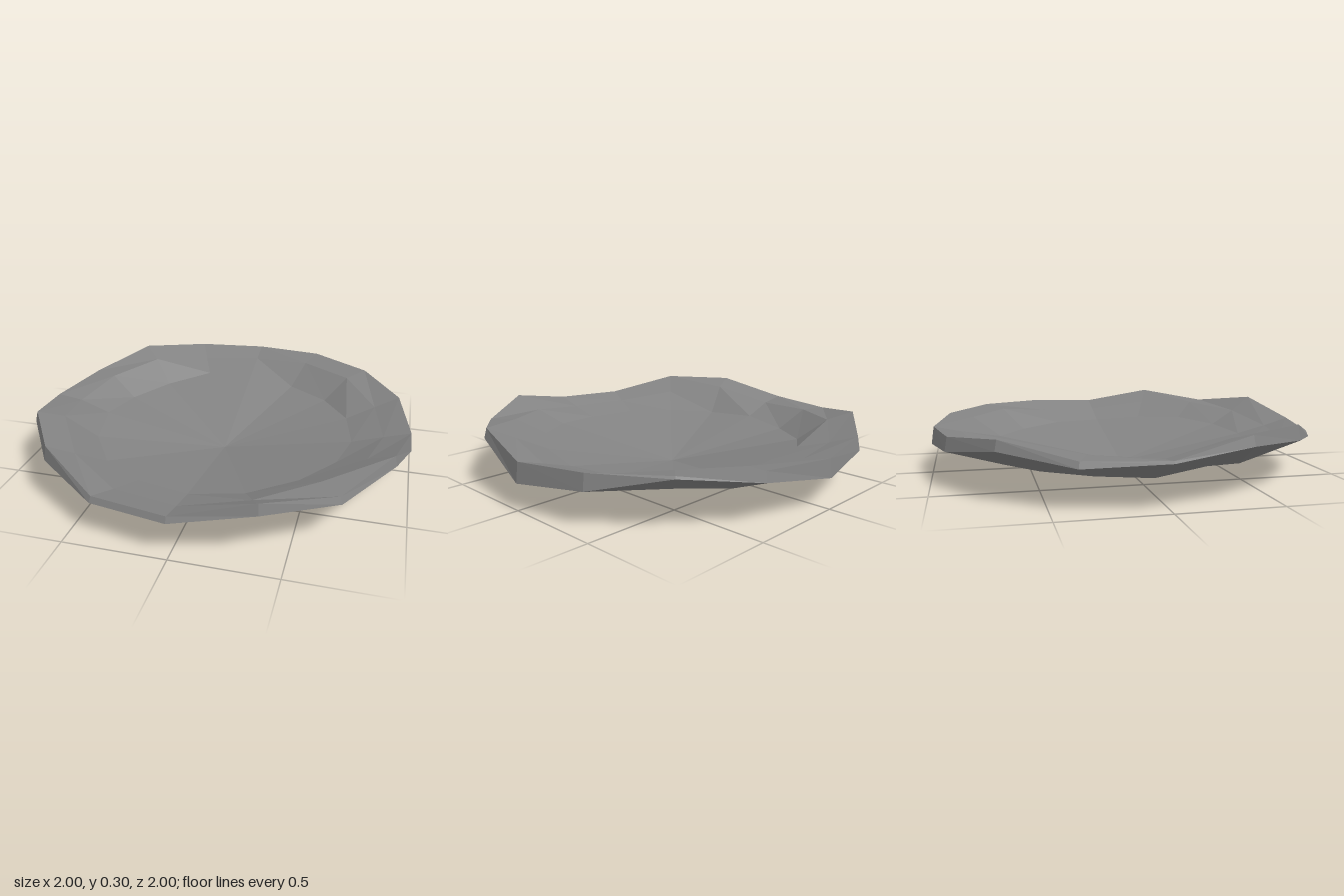
import * as THREE from 'three';

const SIDES = 16;
// Heights around the dish, starting at +x and turning towards +z
const rimTop = [0.23, 0.30, 0.25, 0.30, 0.22, 0.21, 0.30, 0.30, 0.22, 0.22, 0.285, 0.25, 0.24, 0.255, 0.26, 0.25];
const rimLow = [0.13, 0.25, 0.215, 0.245, 0.19, 0.18, 0.225, 0.25, 0.21, 0.19, 0.235, 0.18, 0.15, 0.205, 0.25, 0.17];
const shelf = [0.19, 0.235, 0.25, 0.225, 0.18, 0.175, 0.22, 0.265, 0.20, 0.22, 0.24, 0.205, 0.21, 0.235, 0.24, 0.20];
const basinTop = [0.14, 0.16, 0.17, 0.155, 0.14, 0.14, 0.13, 0.13, 0.14, 0.12, 0.13, 0.165, 0.175, 0.13, 0.13, 0.14];
const basinLow = [0.12, 0.12, 0.10, 0.10, 0.12, 0.08, 0.08, 0.11, 0.08, 0.09, 0.09, 0.08, 0.10, 0.08, 0.10, 0.12];

// One ring of points with a height for each
function ring(radius, heights) {
  return heights.map((y, k) => {
    const a = (k / SIDES) * Math.PI * 2;
    return [Math.cos(a) * radius, y, Math.sin(a) * radius];
  });
}

// A ring shrunk to a single point on the axis
const pole = (y) => ring(0, Array(SIDES).fill(y));

// Skin neighbouring rings, ordered from the top centre outwards and under
function skin(rings, name, material) {
  const pos = [];
  const isPole = (R) => Math.hypot(R[0][0], R[0][2]) < 1e-6;
  for (let r = 0; r < rings.length - 1; r++) {
    const A = rings[r], B = rings[r + 1];
    for (let k = 0; k < SIDES; k++) {
      const n = (k + 1) % SIDES;
      if (!isPole(A)) pos.push(...A[k], ...A[n], ...B[k]);
      if (!isPole(B)) pos.push(...A[n], ...B[n], ...B[k]);
    }
  }
  const geo = new THREE.BufferGeometry();
  geo.setAttribute('position', new THREE.Float32BufferAttribute(pos, 3));
  geo.computeVertexNormals(); // unshared corners give flat facets
  const mesh = new THREE.Mesh(geo, material);
  mesh.name = name;
  return mesh;
}

export function createModel() {
  const stone = new THREE.MeshStandardMaterial({ color: 0x838383 });
  stone.name = 'stone grey';

  const basinEdge = ring(0.69, basinTop);
  const upperRim = ring(0.987, rimTop);
  const lowerRim = ring(1, rimLow);

  const group = new THREE.Group();
  group.name = 'shallowStoneDish';
  group.add(
    skin([pole(0.01), basinEdge], 'basin', stone),
    skin([basinEdge, ring(0.85, shelf), upperRim], 'rimShelf', stone),
    skin([upperRim, lowerRim], 'rimWall', stone),
    skin([lowerRim, ring(0.7, basinLow), pole(0)], 'underside', stone),
  );
  return group;
}
